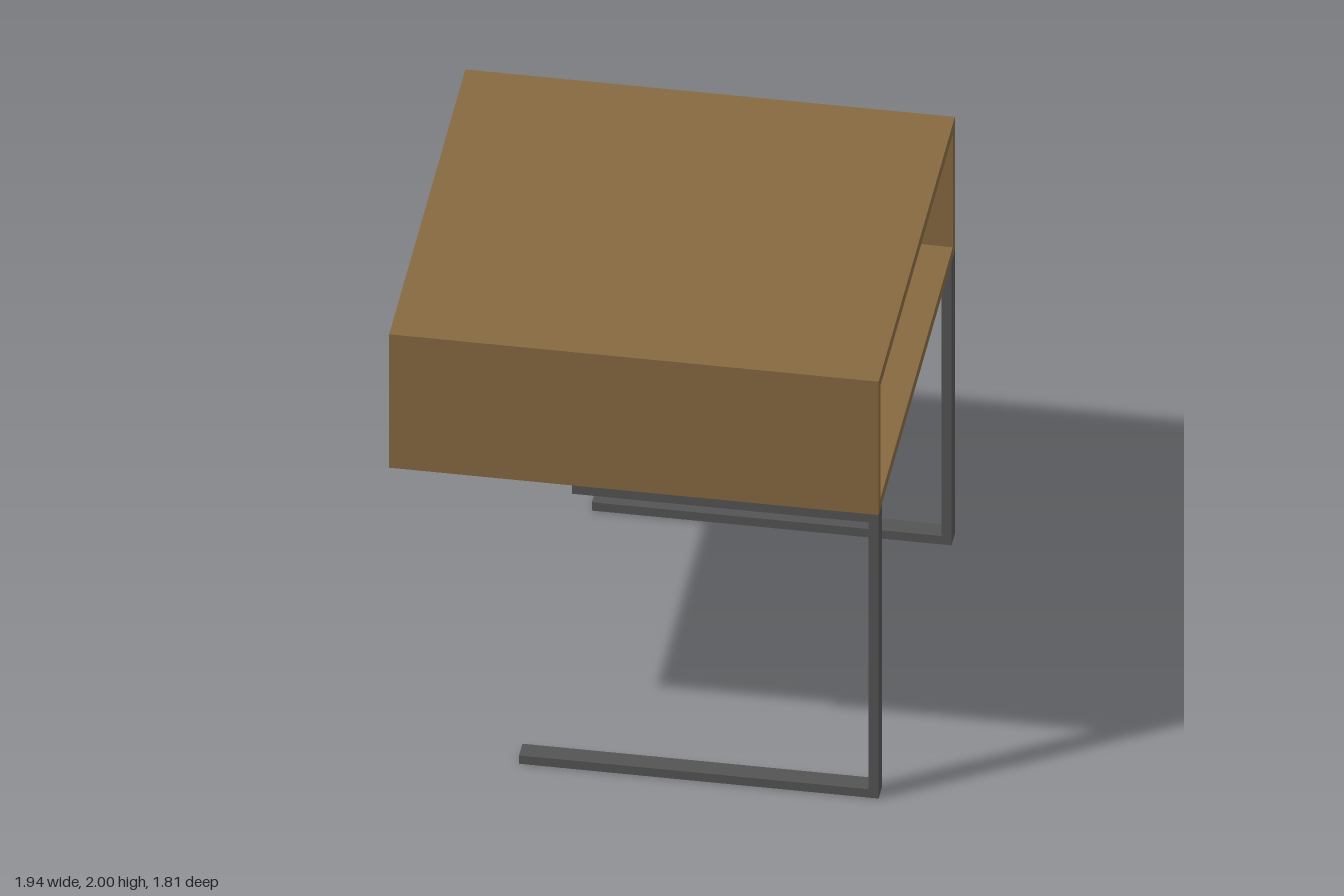
import * as THREE from 'three';

const wood = new THREE.MeshStandardMaterial({ name: 'wood', color: 0x866940 });
const steel = new THREE.MeshStandardMaterial({ name: 'darkSteel', color: 0x545454 });

const HALF_X = 0.97, HALF_Z = 0.905; // outer half sizes
const SHELF_Y = 1.36, TOP_Y = 2;     // underside and top of the case
const WALL = 0.05;                   // case board thickness
const BAR = 0.04, BAR_WIDTH = 0.08;  // flat steel bar section
const RAIL_END = -0.245, FOOT_END = -0.455;

function polygon(points) {
  return points.map(([x, y]) => new THREE.Vector2(x, y));
}

function rect(x0, y0, x1, y1) {
  return polygon([[x0, y0], [x1, y0], [x1, y1], [x0, y1]]);
}

// Rectangular sleeve, open at both x ends
function createCase() {
  const shape = new THREE.Shape(rect(-HALF_Z, SHELF_Y, HALF_Z, TOP_Y));
  shape.holes.push(new THREE.Path(
    rect(-HALF_Z + WALL, SHELF_Y + WALL, HALF_Z - WALL, TOP_Y - WALL)));
  const geometry = new THREE.ExtrudeGeometry(shape, { depth: 2 * HALF_X, bevelEnabled: false });
  geometry.translate(0, 0, -HALF_X).rotateY(Math.PI / 2);
  const mesh = new THREE.Mesh(geometry, wood);
  mesh.name = 'openCase';
  return mesh;
}

// C-shaped side: top rail, upright and foot in one bent bar
function createLeg(side) {
  const shape = new THREE.Shape(polygon([
    [FOOT_END, 0], [HALF_X, 0], [HALF_X, SHELF_Y], [RAIL_END, SHELF_Y],
    [RAIL_END, SHELF_Y - BAR], [HALF_X - BAR, SHELF_Y - BAR],
    [HALF_X - BAR, BAR], [FOOT_END, BAR],
  ]));
  const geometry = new THREE.ExtrudeGeometry(shape, { depth: BAR_WIDTH, bevelEnabled: false });
  const mesh = new THREE.Mesh(geometry, steel);
  mesh.position.z = side > 0 ? HALF_Z - BAR_WIDTH : -HALF_Z;
  mesh.name = side > 0 ? 'frontLeg' : 'backLeg';
  return mesh;
}

export function createModel() {
  const model = new THREE.Group();
  model.name = 'sideTable';
  model.add(createCase(), createLeg(1), createLeg(-1));

  // Bar joining the two top rails under the case
  const crossBar = new THREE.Mesh(
    new THREE.BoxGeometry(BAR_WIDTH, BAR, 2 * (HALF_Z - BAR_WIDTH)), steel);
  crossBar.position.set(RAIL_END + BAR_WIDTH / 2, SHELF_Y - BAR / 2, 0);
  crossBar.name = 'crossBar';
  model.add(crossBar);
  return model;
}
